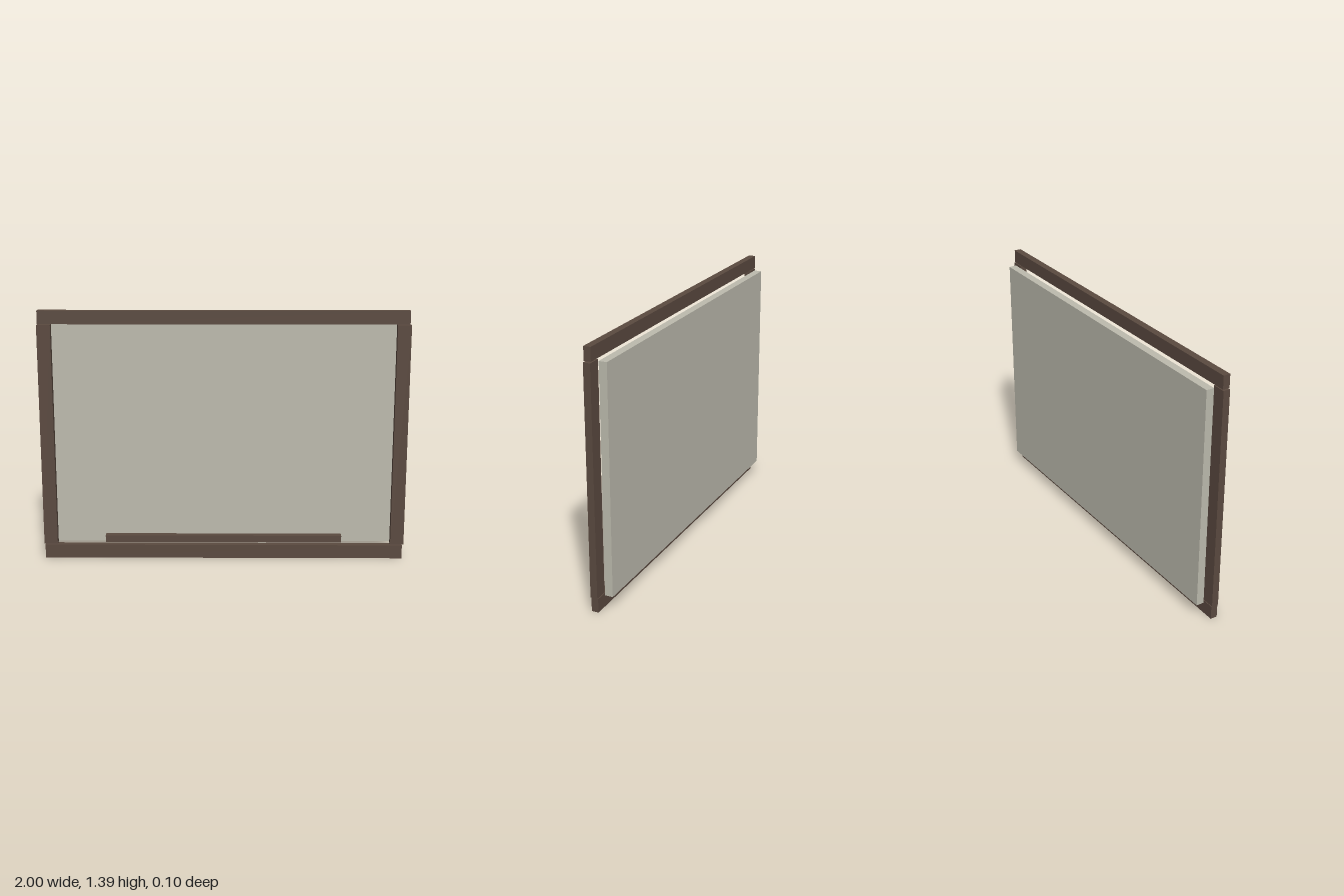
import * as THREE from 'three';

const wood = new THREE.MeshStandardMaterial({ color: 0x5b4a40 });
wood.name = 'dark wood';
const board = new THREE.MeshStandardMaterial({ color: 0xbdbbae });
board.name = 'pale grey board';

// Box given by its extents along each axis
function slab(name, material, [x0, x1], [y0, y1], [z0, z1]) {
  const mesh = new THREE.Mesh(new THREE.BoxGeometry(x1 - x0, y1 - y0, z1 - z0), material);
  mesh.position.set((x0 + x1) / 2, (y0 + y1) / 2, (z0 + z1) / 2);
  mesh.name = name;
  return mesh;
}

export function createModel() {
  const group = new THREE.Group();
  group.name = 'framedBoard';
  const frameZ = [0.009, 0.047];
  const railX = [-0.995, 0.992];
  const innerY = [0.081, 1.31];

  // Writing panel, set just behind the frame
  group.add(slab('panel', board, [-0.95, 0.95], innerY, [-0.051, -0.008]));

  // Frame: two rails and two stiles with narrow gaps between them
  group.add(slab('bottomRail', wood, railX, [0, 0.076], frameZ));
  group.add(slab('topRail', wood, railX, [1.315, 1.387], frameZ));
  group.add(slab('rightStile', wood, [-1, -0.926], innerY, frameZ));
  group.add(slab('leftStile', wood, [0.926, 1], innerY, frameZ));

  // Ledge above the bottom rail
  group.add(slab('ledge', wood, [-0.657, 0.653], [0.094, 0.132], [0.012, 0.051]));
  return group;
}
